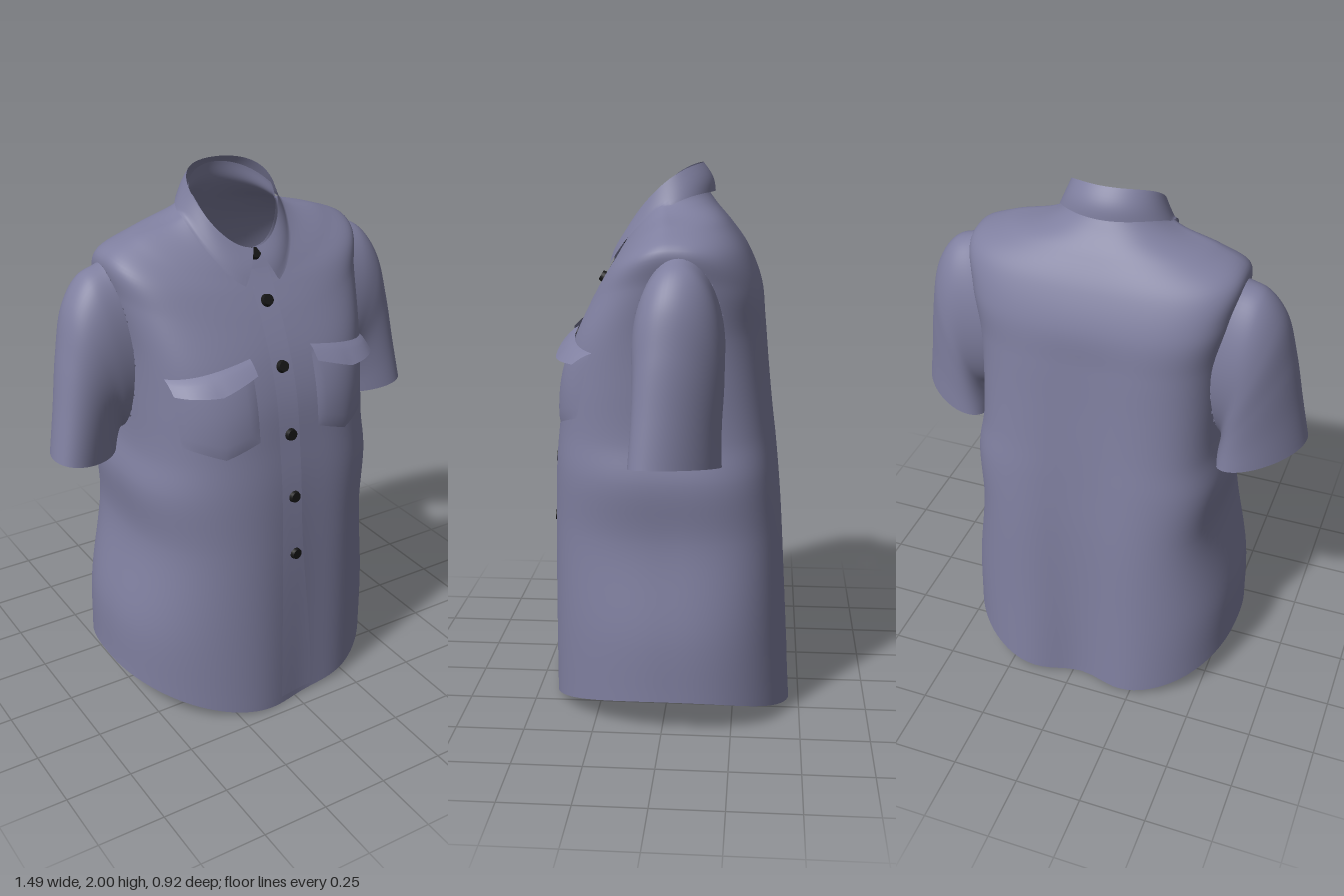
import * as THREE from 'three';

const fabric = new THREE.MeshStandardMaterial({ color: 0x7f7f9f, side: THREE.DoubleSide });
fabric.name = 'blue grey fabric';
const black = new THREE.MeshStandardMaterial({ color: 0x161616 });
black.name = 'black button';
const { lerp, smoothstep } = THREE.MathUtils;

// Smooth surface through rows of points; closed rows wrap round.
function skin(rows, closed) {
  const n = rows[0].length, idx = [];
  for (let i = 0; i < rows.length - 1; i++) {
    for (let j = 0; j < (closed ? n : n - 1); j++) {
      const a = i * n + j, b = i * n + (j + 1) % n;
      idx.push(a, b, b + n, a, b + n, a + n);
    }
  }
  const geo = new THREE.BufferGeometry().setFromPoints(rows.flat());
  geo.setIndex(idx);
  geo.computeVertexNormals();
  return geo;
}

// Resample a few key rings into many with a spline down every column.
function smoothRows(rings, steps) {
  const cols = rings[0].map((_, j) => new THREE.CatmullRomCurve3(rings.map(r => r[j])).getPoints(steps));
  return Array.from({ length: steps + 1 }, (_, i) => cols.map(c => c[i]));
}

const pow = (v, p) => Math.sign(v) * Math.abs(v) ** (2 / p);

// Torso ring: half width, centre x, front z, back z, front y, side y, back y,
// front and back roundness, fold depth, sharpness of the side-to-front slope
function torsoRing([hw, cx, zf, zb, yf, ys, yb, pf, pb, fold, slope]) {
  const N = 120, pts = [];
  for (let j = 0; j < N; j++) {
    const a = -j / N * Math.PI * 2, c = Math.cos(a), s = Math.sin(a);
    const p = s > 0 ? pf : pb;
    const lx = hw * pow(c, p);
    let z = (zf + zb) / 2 + (zf - zb) / 2 * pow(s, p);
    // soft vertical folds along the spine and the button line
    const dip = Math.exp(-((lx - (s > 0 ? 0.08 : 0)) ** 2) / 0.022);
    z -= Math.sign(s) * fold * dip * (s > 0 ? 0.6 : 1) * Math.min(1, Math.abs(s) * 2);
    const y = ys + ((s > 0 ? yf : yb) - ys) * Math.abs(s) ** slope;
    pts.push(new THREE.Vector3(cx + lx, y, z));
  }
  return pts;
}

function makeTorso() {
  const rings = [
    [0.540, -0.03, 0.475, -0.49, 0.00, 0.13, 0.00, 2.1, 2.5, 0.07, 2],
    [0.530, -0.03, 0.465, -0.465, 0.32, 0.36, 0.32, 2.2, 2.7, 0.055, 2],
    [0.470, -0.02, 0.45, -0.435, 0.70, 0.70, 0.70, 2.5, 3.3, 0.04, 2],
    [0.480, -0.02, 0.435, -0.41, 0.93, 0.92, 0.93, 2.6, 3.4, 0.03, 2],
    [0.455, -0.02, 0.415, -0.39, 1.08, 1.06, 1.08, 2.8, 3.5, 0.02, 2],
    [0.450, -0.02, 0.39, -0.372, 1.25, 1.24, 1.25, 2.9, 3.4, 0.015, 2],
    [0.455, -0.02, 0.345, -0.355, 1.39, 1.43, 1.42, 3.0, 3.3, 0.01, 2],
    [0.480, -0.02, 0.275, -0.335, 1.53, 1.61, 1.56, 2.7, 3.2, 0, 1.8],
    [0.490, -0.015, 0.23, -0.285, 1.61, 1.735, 1.69, 2.4, 2.8, 0, 1.5],
    [0.380, -0.02, 0.20, -0.22, 1.66, 1.795, 1.79, 2.2, 2.4, 0, 1.3],
    [0.225, -0.03, 0.178, -0.16, 1.70, 1.835, 1.865, 2.1, 2.1, 0, 1.3],
    [0.170, -0.03, 0.160, -0.125, 1.73, 1.87, 1.92, 2, 2, 0, 1.3],
    [0.158, -0.03, 0.152, -0.110, 1.745, 1.92, 1.985, 2, 2, 0, 1.3],
  ];
  return skin(smoothRows(rings.map(torsoRing), 96), true);
}

// Armhole: an ellipse seen from the side
const hole = { y: 1.40, z: -0.06, ry: 0.31, rz: 0.155 };

// Remove the torso faces that lie inside the armholes.
function cutArmholes(geo) {
  const pos = geo.attributes.position, old = geo.index.array, kept = [];
  for (let i = 0; i < old.length; i += 3) {
    const t = [old[i], old[i + 1], old[i + 2]];
    const mid = axis => t.reduce((sum, k) => sum + pos['get' + axis](k), 0) / 3;
    const inside = ((mid('Y') - hole.y) / hole.ry) ** 2 + ((mid('Z') - hole.z) / hole.rz) ** 2 < 0.95;
    if (!inside || Math.abs(mid('X')) < 0.3) kept.push(...t);
  }
  geo.setIndex(kept);
}

// Sleeve ring: outer x, outer y, inner x, inner y, front z, back z, forward skew of the outer edge
function sleeveRing([xo, yo, xi, yi, zf, zb, skew], side, N) {
  const pts = [];
  for (let j = 0; j < N; j++) {
    const a = j / N * Math.PI * 2 * side, c = Math.cos(a), k = (1 + c) / 2;
    pts.push(new THREE.Vector3(
      -0.012 + side * lerp(xi, xo, k),
      lerp(yi, yo, k),
      (zf + zb) / 2 + (zf - zb) / 2 * pow(Math.sin(a), 2.1) + skew * c));
  }
  return pts;
}

// Sleeve from the cuff up to a root ring that lies on the torso
function makeSleeve(side, torsoX) {
  const N = 64;
  const rings = [
    [0.747, 1.055, 0.452, 0.995, 0.075, -0.190, 0.075],
    [0.717, 1.22, 0.453, 1.03, 0.075, -0.195, 0.06],
    [0.682, 1.42, 0.455, 1.06, 0.080, -0.205, 0.04],
    [0.637, 1.59, 0.457, 1.08, 0.090, -0.215, 0.02],
    [0.570, 1.68, 0.457, 1.088, 0.095, -0.217, 0.005],
  ].map(r => sleeveRing(r, side, N));
  rings.push(rings[0].map((_, j) => {
    const a = j / N * Math.PI * 2 * side;
    const y = hole.y + hole.ry * Math.cos(a), z = hole.z + hole.rz * Math.sin(a);
    return new THREE.Vector3(torsoX(side, y, z), y, z);
  }));
  return skin(smoothRows(rings, 40), true);
}

export function createModel() {
  const shirt = new THREE.Group();
  shirt.name = 'shirt';
  const add = (name, geo, mat = fabric) => {
    const m = new THREE.Mesh(geo, mat);
    m.name = name;
    shirt.add(m);
    return m;
  };

  const torso = add('torso', makeTorso());

  // Where the torso lies, seen from the front, from above or from a side
  const ray = new THREE.Raycaster();
  const hitTorso = (x, y, z, dx, dy, dz) => {
    ray.set(new THREE.Vector3(x, y, z), new THREE.Vector3(dx, dy, dz));
    return ray.intersectObject(torso)[0];
  };
  const front = (x, y) => hitTorso(x, y, 2, 0, 0, -1);
  const topY = (x, z) => hitTorso(x, 3, z, 0, -1, 0)?.point.y ?? 0;
  const sideX = (side, y, z) => hitTorso(side * 2, y, z, -side, 0, 0)?.point.x ?? side * 0.45;

  add('leftSleeve', makeSleeve(1, sideX));
  add('rightSleeve', makeSleeve(-1, sideX));
  cutArmholes(torso.geometry);

  // Patch draped over the front: the rule gives x, y and lift for u, v in 0..1
  const drape = (nu, nv, rule) => {
    const rows = [];
    for (let i = 0; i <= nv; i++) {
      const row = [];
      for (let j = 0; j <= nu; j++) {
        const [x, y, lift] = rule(j / nu, i / nv);
        row.push(new THREE.Vector3(x, y, front(x, y).point.z + lift));
      }
      rows.push(row.reverse());
    }
    return skin(rows, false);
  };

  // Button placket, its free edge wandering left towards the hem
  add('placket', drape(6, 60, (u, v) => {
    const edge = 0.012 + 0.06 * smoothstep(v, 0.5, 1);
    return [lerp(-0.07, edge, u), 1.68 - 1.65 * v, 0.001 + 0.009 * u * smoothstep(v, -0.2, 0.6)];
  }));

  // Chest pockets with lifted, pointed flaps
  for (const side of [1, -1]) {
    const label = side > 0 ? 'left' : 'right';
    const px = t => -0.025 + side * t;
    add(label + 'Pocket', drape(14, 12, (u, v) => {
      const bottom = 1.13 - 0.045 * (1 - Math.abs(2 * u - 1));
      const bulge = Math.max(0, Math.sin(Math.PI * u) * Math.sin(Math.PI * v));
      return [px(lerp(0.125, 0.395 - 0.02 * v, u)), lerp(1.40 - 0.04 * u, bottom, v), 0.002 + 0.012 * Math.sqrt(bulge)];
    }));
    add(label + 'PocketFlap', drape(16, 6, (u, v) => {
      const bottom = u < 0.5 ? 1.375 - 0.09 * u : 1.33;
      return [px(lerp(0.125, 0.405, u)), lerp(1.42 - 0.05 * u, bottom, v), 0.004 + v ** 0.7 * (0.035 + 0.03 * u)];
    }));
  }

  // Folded collar: from the fold down to the lower edge, ending in two points
  const collarRows = [];
  const gapTop = 0.03, gapLow = 0.34;
  for (let i = 0; i <= 8; i++) {
    const v = i / 8, row = [];
    for (let j = 0; j <= 72; j++) {
      const t = j / 72;
      const at = lerp(gapTop, Math.PI * 2 - gapTop, t);
      const al = lerp(gapLow, Math.PI * 2 - gapLow, t);
      const dt = Math.cos(at) * (Math.cos(at) > 0 ? 0.15 : 0.135);
      const dl = Math.cos(al) * (Math.cos(al) > 0 ? 0.215 : 0.18);
      const fold = new THREE.Vector3(-0.03 + 0.165 * Math.sin(at), 1.93 - 0.845 * dt - 2.36 * dt * dt, 0.02 + dt);
      const edge = new THREE.Vector3(-0.03 + 0.205 * Math.sin(al), 1.84 - 0.661 * dl - 1.82 * dl * dl, 0.02 + dl);
      const p = fold.lerp(edge, v);
      p.z += 0.012 * Math.sin(Math.PI * v) * Math.cos(al);
      if (v > 0.3) p.y = Math.max(p.y, topY(p.x, p.z) + 0.014);
      row.push(p);
    }
    collarRows.push(row.reverse());
  }
  add('collar', skin(collarRows, false));

  // Buttons, set square to the cloth
  const disc = new THREE.CylinderGeometry(0.019, 0.023, 0.016, 20);
  const buttons = [[-0.03, 1.725], [-0.03, 1.58], [-0.03, 1.37], [-0.025, 1.13], [-0.02, 0.89], [-0.015, 0.655]];
  buttons.forEach(([x, y], i) => {
    const hit = front(x, y);
    const n = hit.face.normal.clone();
    if (n.z < 0) n.negate();
    const b = add('button' + (i + 1), disc, black);
    b.position.copy(hit.point).addScaledVector(n, 0.01);
    b.quaternion.setFromUnitVectors(new THREE.Vector3(0, 1, 0), n);
  });

  return shirt;
}
